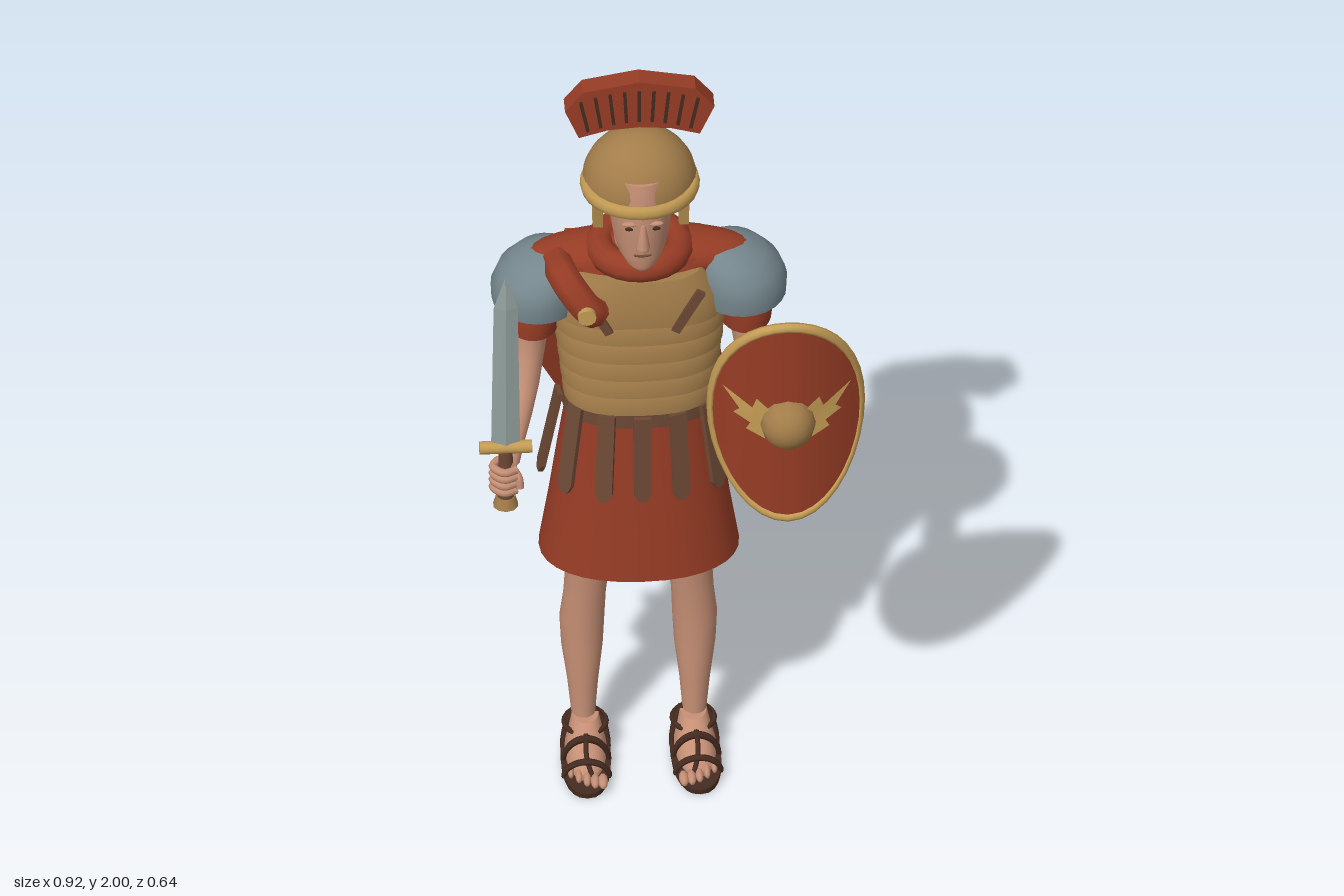
import * as THREE from 'three';

const mat = (name, color, side = THREE.FrontSide) => {
  const m = new THREE.MeshStandardMaterial({ color, side });
  m.name = name;
  return m;
};

// Stacked horizontal ellipses [y, cx, cz, rx, rz] from bottom to top; pow < 1 squares them off
function loft(rows, { seg = 24, pow = 1, caps = true } = {}) {
  const pos = [], idx = [], n = rows.length;
  const sp = v => Math.sign(v) * Math.abs(v) ** pow;
  const ring = ([y, cx, cz, rx, rz]) => {
    for (let j = 0; j < seg; j++) {
      const t = (j / seg) * Math.PI * 2;
      pos.push(cx + rx * sp(Math.cos(t)), y, cz + rz * sp(Math.sin(t)));
    }
  };
  rows.forEach(ring);
  for (let i = 0; i < n - 1; i++) for (let j = 0; j < seg; j++) {
    const k = (j + 1) % seg, a = i * seg + j, b = i * seg + k, c = a + seg, d = b + seg;
    idx.push(a, c, b, b, c, d);
  }
  if (caps) for (const [r, top] of [[rows[0], false], [rows[n - 1], true]]) {
    const base = pos.length / 3;
    ring(r);
    pos.push(r[1], r[0], r[2]);
    for (let j = 0; j < seg; j++) {
      const a = base + j, b = base + (j + 1) % seg;
      idx.push(base + seg, top ? b : a, top ? a : b);
    }
  }
  const g = new THREE.BufferGeometry();
  g.setAttribute('position', new THREE.Float32BufferAttribute(pos, 3));
  g.setIndex(idx);
  g.computeVertexNormals();
  return g;
}

const flat = g => { const f = g.toNonIndexed(); f.computeVertexNormals(); return f; };
const poly = pts => new THREE.Shape(pts.map(p => new THREE.Vector2(p[0], p[1])));
const plate = (pts, depth) => new THREE.ExtrudeGeometry(poly(pts), { depth, bevelEnabled: false });
const ball = (rx, ry, rz, a = 20, b = 14) => new THREE.SphereGeometry(1, a, b).scale(rx, ry, rz);
const tube = (pts, r) => new THREE.TubeGeometry(
  new THREE.CatmullRomCurve3(pts.map(p => new THREE.Vector3(...p))), 14, r, 8);

export function createModel() {
  const D = THREE.DoubleSide;
  const red = mat('red cloth', 0x963c25, D), bronze = mat('bronze', 0xa37d4a, D);
  const gold = mat('light gold', 0xc49c54, D), steel = mat('blue steel', 0x75878d, D);
  const blade = mat('blade metal', 0x93a19e), skin = mat('skin', 0xc48e74);
  const leather = mat('brown leather', 0x6c4834, D), dark = mat('dark leather', 0x452b20);
  const wood = mat('shield back', 0x573c2d, D);

  const model = new THREE.Group();
  const body = new THREE.Group();
  body.name = 'soldier';
  body.position.x = -0.075;
  model.add(body);
  const add = (name, geo, m, p = [0, 0, 0], parent = body) => {
    const o = new THREE.Mesh(geo, m);
    o.name = name;
    o.position.set(...p);
    parent.add(o);
    return o;
  };

  // Head and face
  add('head', loft([[1.528, 0, 0.095, 0.022, 0.025], [1.54, 0, 0.085, 0.038, 0.042], [1.565, 0, 0.062, 0.056, 0.066],
    [1.6, 0, 0.042, 0.067, 0.09], [1.65, 0, 0.032, 0.075, 0.104], [1.7, 0, 0.028, 0.079, 0.108], [1.78, 0, 0.02, 0.076, 0.1]]), skin);
  add('neck', loft([[1.45, 0, -0.015, 0.075, 0.065], [1.52, 0, -0.01, 0.06, 0.055], [1.64, 0, -0.015, 0.062, 0.06]]), skin);
  add('nose', loft([[1.607, 0, 0.135, 0.016, 0.02], [1.615, 0, 0.136, 0.017, 0.021], [1.675, 0, 0.13, 0.007, 0.01]], { seg: 10 }), skin);
  add('mouth', ball(0.022, 0.004, 0.006), leather, [0, 1.58, 0.127]);
  for (const s of [-1, 1]) {
    add('eye', ball(0.012, 0.005, 0.005), dark, [s * 0.031, 1.66, 0.127]);
    add('brow', ball(0.019, 0.006, 0.008), skin, [s * 0.031, 1.675, 0.128]);
    add('ear', ball(0.01, 0.026, 0.018), skin, [s * 0.078, 1.645, 0.01]);
  }

  // Helmet with brim, cheek guards and crest
  add('helmetDome', new THREE.SphereGeometry(1, 24, 10, 0, Math.PI * 2, 0, Math.PI / 2).scale(0.138, 0.14, 0.125), bronze, [0, 1.715, 0]);
  add('helmetBrim', new THREE.TorusGeometry(0.132, 0.012, 8, 28).rotateX(Math.PI / 2).scale(1, 1.6, 0.97), gold, [0, 1.718, 0.016]);
  for (const s of [-1, 1]) {
    add('cheekGuard', plate([[0.095, 1.71], [0.005, 1.71], [0.018, 1.6], [0.07, 1.625]], 0.022).rotateY(-Math.PI / 2), gold, [s * 0.103 + 0.011, 0, 0]);
  }
  add('crest', plate([[-0.178, 1.92], [-0.135, 1.975], [0, 2], [0.135, 1.975], [0.18, 1.92], [0.145, 1.84],
    [0.075, 1.86], [0, 1.866], [-0.075, 1.86], [-0.145, 1.84]], 0.052), red, [0, 0, -0.055]);
  for (let i = -4; i <= 4; i++) {
    const slat = add('crestSlot', new THREE.BoxGeometry(0.008, 0.09, 0.008), dark, [i * 0.033, 1.93 - i * i * 0.0016, -0.002]);
    slat.rotation.z = -i * 0.05;
  }

  // Banded armour, chest plate and belt
  add('tunicTop', loft([[1.28, 0, -0.02, 0.18, 0.11], [1.42, 0, -0.02, 0.23, 0.11], [1.5, 0, -0.02, 0.18, 0.085]]), red);
  for (let i = 0; i < 5; i++) {
    const y = 1.085 + i * 0.055, r = 0.175 + i * 0.006, d = 0.122 + Math.min(i, 3) * 0.005;
    add('armourBand', loft([[y, 0, -0.018, r + 0.008, d + 0.006], [y + 0.04, 0, -0.018, r + 0.01, d + 0.006],
      [y + 0.062, 0, -0.018, r - 0.004, d - 0.008]], { pow: 0.8, seg: 32 }), bronze);
  }
  add('chestPlate', loft([[1.345, 0, -0.012, 0.203, 0.132], [1.41, 0, -0.012, 0.2, 0.132], [1.475, 0, -0.012, 0.155, 0.112]], { pow: 0.75, seg: 32 }), bronze);
  for (const s of [-1, 1]) {
    const strap = add('chestStrap', new THREE.BoxGeometry(0.022, 0.13, 0.012), leather, [s * 0.11, 1.4, 0.118]);
    strap.rotation.z = -s * 0.5;
  }
  add('belt', loft([[1.045, 0, -0.02, 0.186, 0.128], [1.1, 0, -0.02, 0.182, 0.126]], { pow: 0.9 }), leather);

  // Kilt and hanging leather strips
  add('kilt', loft([[0.612, 0, -0.025, 0.24, 0.168], [0.75, 0, -0.025, 0.218, 0.152], [0.9, 0, -0.025, 0.197, 0.136],
    [1.07, 0, -0.022, 0.172, 0.118]], { caps: false, pow: 0.9, seg: 32 }), red);
  const stripShape = [[-0.021, 0], [-0.021, -0.215], [-0.01, -0.236], [0.01, -0.236], [0.021, -0.215], [0.021, 0]];
  for (const deg of [-84, -54, -26, 0, 26, 54, 84]) {
    const a = deg * Math.PI / 180, sx = Math.sin(a), cz = Math.cos(a);
    const strip = add('hangingStrip', plate(stripShape, 0.012), leather, [sx * 0.188, 1.085, cz * 0.135 - 0.02]);
    strip.rotation.order = 'YXZ';
    strip.rotation.y = Math.atan2(sx / 0.188, cz / 0.135);
    strip.rotation.x = -0.06 - 0.14 * Math.abs(sx);
  }

  // Neck cloth, knot and pin
  add('cloakShoulders', ball(0.275, 0.06, 0.088, 28, 14), red, [0, 1.475, -0.03]);
  add('neckCloth', new THREE.TorusGeometry(0.095, 0.036, 10, 24).rotateX(Math.PI / 2), red, [0, 1.51, -0.01]);
  add('cloakFold', tube([[-0.2, 1.48, 0], [-0.18, 1.475, 0.08], [-0.13, 1.415, 0.115], [-0.11, 1.395, 0.1]], 0.04), red);
  add('cloakPin', new THREE.CylinderGeometry(0.022, 0.022, 0.016, 12).rotateX(Math.PI / 2), gold, [-0.135, 1.423, 0.154]);

  // Stiff cloak hanging down the back
  const cloak = new THREE.Group();
  cloak.name = 'backCloak';
  cloak.position.set(0, 1.46, -0.11);
  cloak.rotation.x = 0.27;
  body.add(cloak);
  add('cloakPanel', plate([[-0.17, 0], [-0.25, -0.425], [-0.16, -0.63], [0.05, -0.685], [0.215, -0.53], [0.155, 0]], 0.03), red, [0, 0, -0.03], cloak);
  add('backPatch', plate([[-0.09, -0.05], [-0.075, -0.1], [-0.03, -0.14], [0.05, -0.13], [0.09, -0.06], [0.04, -0.03], [-0.04, -0.03]], 0.006), bronze, [0, 0, -0.034], cloak);

  for (const s of [-1, 1]) {
    const side = s > 0 ? 'left' : 'right';
    // Arms and shoulder armour
    add(side + 'Arm', loft([[0.99, s * 0.318, 0.14, 0.024, 0.026], [1.03, s * 0.31, 0.115, 0.028, 0.032], [1.09, s * 0.297, 0.075, 0.037, 0.045],
      [1.15, s * 0.282, 0.03, 0.042, 0.054], [1.21, s * 0.268, -0.003, 0.041, 0.054], [1.29, s * 0.258, -0.02, 0.045, 0.058],
      [1.4, s * 0.24, -0.02, 0.055, 0.07]], { seg: 16 }), skin);
    add(side + 'Sleeve', loft([[1.285, s * 0.255, -0.02, 0.062, 0.082], [1.36, s * 0.25, -0.02, 0.075, 0.088], [1.46, s * 0.22, -0.02, 0.06, 0.07]]), red);
    const pad = add(side + 'ShoulderGuard', loft([[1.36, s * 0.245, -0.022, 0.108, 0.118], [1.4, s * 0.243, -0.022, 0.112, 0.123],
      [1.44, s * 0.235, -0.022, 0.104, 0.116], [1.475, s * 0.222, -0.022, 0.082, 0.093], [1.496, s * 0.205, -0.022, 0.05, 0.058],
      [1.502, s * 0.195, -0.022, 0.015, 0.02]]), steel);
    add(side + 'Palm', ball(0.02, 0.045, 0.03), skin, [s * 0.322, 0.97, 0.145]);
    for (let i = 0; i < 4; i++) {
      // Fingers curl around the hilt on the right and hang on the left
      if (s < 0) add('rightFinger', tube([[-0.345, 0.995 - i * 0.02, 0.14], [-0.362, 0.993 - i * 0.02, 0.165], [-0.335, 0.99 - i * 0.02, 0.19],
        [-0.305, 0.99 - i * 0.02, 0.178]], 0.01), skin);
      else add('leftFinger', tube([[0.32, 0.95, 0.126 + i * 0.014], [0.318, 0.915, 0.132 + i * 0.015], [0.305, 0.885 + (i % 3) * 0.005, 0.136 + i * 0.015]], 0.009), skin);
    }
    add(side + 'Thumb', tube([[s * 0.315, 0.985, 0.16], [s * 0.3, 0.965, 0.18], [s * 0.297, 0.94, 0.185]], 0.01), skin);

    // Legs
    add(side + 'Leg', loft([[0.05, s * 0.133, -0.025, 0.034, 0.04], [0.11, s * 0.133, -0.022, 0.029, 0.032], [0.2, s * 0.134, -0.028, 0.037, 0.04],
      [0.3, s * 0.135, -0.042, 0.05, 0.051], [0.38, s * 0.135, -0.045, 0.054, 0.053], [0.46, s * 0.129, -0.036, 0.051, 0.048],
      [0.52, s * 0.124, -0.032, 0.053, 0.048], [0.62, s * 0.119, -0.032, 0.064, 0.058], [0.95, s * 0.09, -0.03, 0.08, 0.08]]), skin);

    // Feet with sandals
    const foot = new THREE.Group();
    foot.name = side + 'Foot';
    foot.position.set(s * 0.13, 0.02, 0);
    foot.rotation.set(0.09, s * 0.03, 0);
    body.add(foot);
    add('sole', loft([[0, 0, 0.045, 0.06, 0.145], [0.014, 0, 0.045, 0.06, 0.145]], { pow: 0.85 }), dark, [0, 0, 0], foot);
    add('instep', loft([[0.012, 0, 0.03, 0.05, 0.115], [0.03, 0, 0.028, 0.05, 0.112], [0.05, 0, 0.005, 0.043, 0.08], [0.09, 0, -0.02, 0.032, 0.042]]), skin, [0, 0, 0], foot);
    for (let i = 0; i < 5; i++) {
      add('toe', ball(0.012 - i * 0.001, 0.012, 0.026, 10, 8), skin, [s * (-0.038 + i * 0.019), 0.023, 0.155 - i * i * 0.0025], foot);
    }
    for (const [z, h, tilt] of [[0.118, 0.05, 0.1], [0.06, 0.078, 0.15], [0.015, 0.1, -0.5]]) {
      const strap = add('sandalStrap', new THREE.TorusGeometry(1, 0.13, 6, 16, Math.PI).scale(0.054, h, 0.07), dark, [0, 0.008, z], foot);
      strap.rotation.x = tilt;
    }
    add('heelStrap', new THREE.TorusGeometry(0.05, 0.007, 6, 20).rotateX(Math.PI / 2), dark, [0, 0.065, -0.015], foot);
    add('toeStrap', tube([[0, 0.09, 0.06], [0, 0.06, 0.11], [-s * 0.015, 0.02, 0.145]], 0.006), dark, [0, 0, 0], foot);
  }

  // Sword
  const sword = new THREE.Group();
  sword.name = 'sword';
  sword.position.set(-0.33, 0, 0.157);
  body.add(sword);
  add('blade', flat(loft([[1.04, 0, 0, 0.035, 0.011], [1.46, 0, 0, 0.029, 0.01], [1.55, 0, 0, 0.001, 0.001]], { seg: 4 })), blade, [0, 0, 0], sword);
  add('crossGuard', new THREE.CylinderGeometry(0.016, 0.016, 0.126, 12).rotateZ(Math.PI / 2), gold, [0, 1.043, 0], sword);
  add('grip', new THREE.CylinderGeometry(0.017, 0.021, 0.14, 10), leather, [0, 0.965, 0], sword);
  add('pommel', new THREE.CylinderGeometry(0.023, 0.031, 0.028, 10), bronze, [0, 0.885, 0], sword);

  // Curved oval shield
  const shield = new THREE.Group();
  shield.name = 'shield';
  shield.position.set(0.34, 1.157, 0.25);
  body.add(shield);
  const bend = (g, off = 0) => {
    const p = g.attributes.position;
    for (let i = 0; i < p.count; i++) p.setZ(i, p.getZ(i) + off - 2.35 * p.getX(i) ** 2);
    g.computeVertexNormals();
    return g;
  };
  const disc = () => new THREE.RingGeometry(0.001, 0.96, 32, 8).scale(0.19, 0.295, 1);
  add('shieldFace', bend(disc(), 0.006), red, [0, 0, 0], shield);
  add('shieldBack', bend(disc().rotateY(Math.PI), -0.006), wood, [0, 0, 0], shield);
  add('shieldRim', bend(new THREE.TorusGeometry(0.96, 0.04, 8, 36).scale(0.19, 0.295, 0.34)), gold, [0, 0, 0], shield);
  add('shieldBoss', new THREE.SphereGeometry(0.067, 12, 5, 0, Math.PI * 2, 0, Math.PI / 2).rotateX(Math.PI / 2), bronze, [0, 0, 0], shield);
  for (const s of [-1, 1]) {
    const wing = [[0.155, 0.09], [0.085, 0.046], [0.075, 0.075], [0.02, 0.02], [0.04, -0.05], [0.1, -0.02], [0.09, 0.0], [0.13, 0.02], [0.115, 0.035]];
    add('shieldWing', bend(new THREE.ShapeGeometry(poly(wing.map(p => [s * p[0], p[1]]))), 0.015), gold, [0, 0, 0], shield);
  }
  return model;
}
